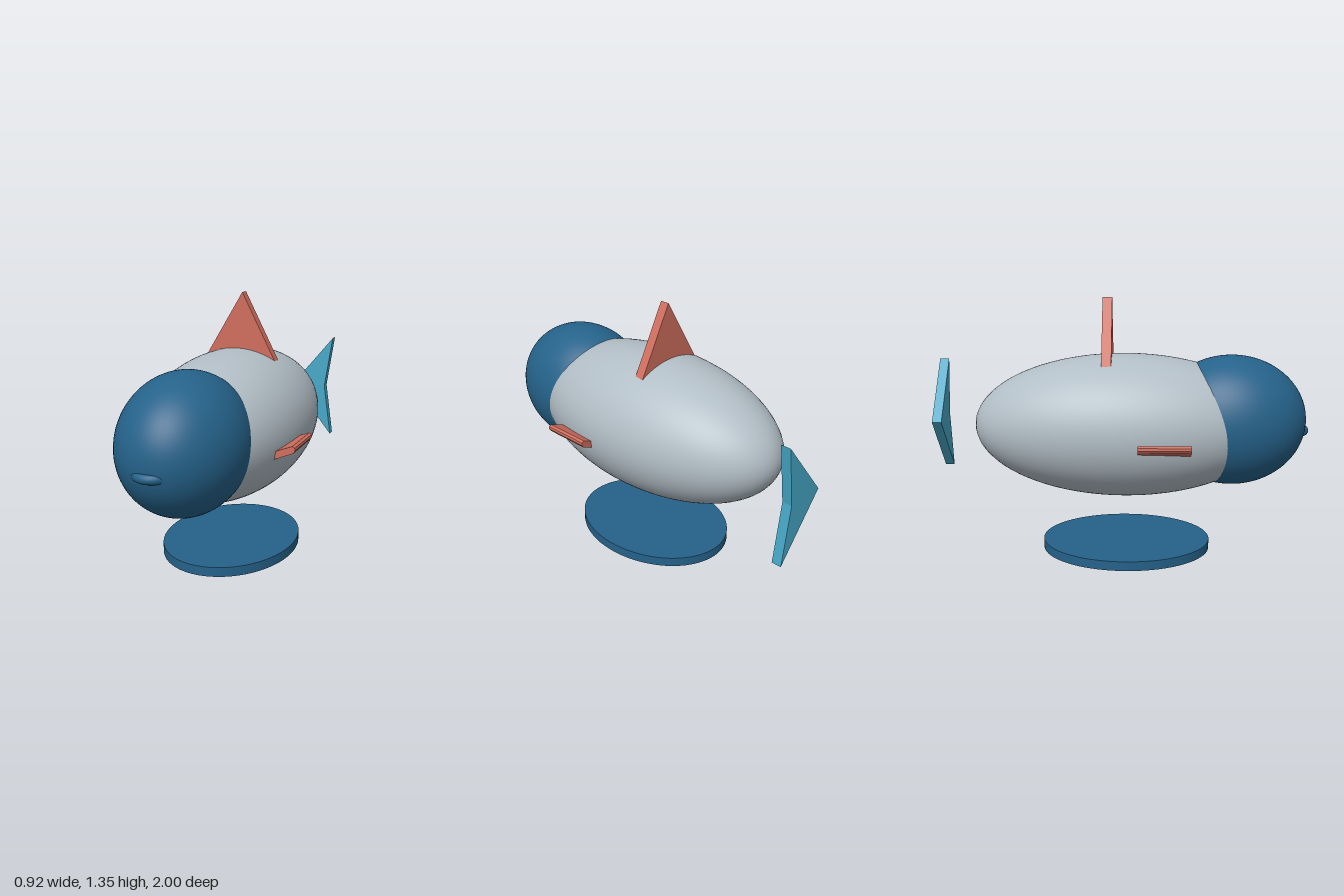
import * as THREE from 'three';

const paint = (name, color) => {
  const m = new THREE.MeshStandardMaterial({ color });
  m.name = name;
  return m;
};

export function createModel() {
  const fish = new THREE.Group();
  fish.name = 'fish';
  const grey = paint('body grey', 0xb2bec6);
  const blue = paint('deep blue', 0x25628a);
  const red = paint('fin red', 0xd06e5e);
  const teal = paint('tail teal', 0x46a8c8);

  const add = (name, geometry, material, x, y, z) => {
    const mesh = new THREE.Mesh(geometry, material);
    mesh.name = name;
    mesh.position.set(x, y, z);
    fish.add(mesh);
    return mesh;
  };
  const ellipsoid = (rx, ry, rz) => new THREE.SphereGeometry(1, 64, 48).scale(rx, ry, rz);
  // flat plate cut from an outline in x and y, growing towards +z
  const plate = (points, depth) => new THREE.ExtrudeGeometry(
    new THREE.Shape(points.map(([x, y]) => new THREE.Vector2(x, y))),
    { depth, bevelEnabled: false });

  // body and head
  add('body', ellipsoid(0.4, 0.375, 0.79), grey, 0, 0.685, 0.03);
  add('head', ellipsoid(0.308, 0.342, 0.39), blue, 0, 0.713, 0.59);

  // lips: a ring lying flat, only its front arc stands out of the head
  add('mouth', new THREE.TorusGeometry(0.075, 0.023, 16, 48).rotateX(Math.PI / 2), blue, 0, 0.66, 0.9);

  // triangular back fin
  add('dorsalFin', plate([[-0.215, 0.95], [0.234, 0.95], [0.025, 1.35]], 0.05), red, 0, 0, -0.085);

  // side fins, tilted upwards with a blunt tip
  const finOutline = [[0.27, 0.574], [0.449, 0.65], [0.458, 0.664],
    [0.456, 0.677], [0.444, 0.685], [0.433, 0.681], [0.27, 0.614]];
  add('leftFin', plate(finOutline, 0.26), red, 0, 0, 0.1);
  add('rightFin', plate(finOutline.map(([x, y]) => [-x, y]), 0.26), red, 0, 0, 0.1);

  // detached arrow-shaped tail
  add('tailFin', plate([[0, 0.685], [0.25, 0.38], [0.205, 0.685], [0.25, 0.99]], 0.05), teal, 0, 0, -1);

  // oval base
  add('base', new THREE.CylinderGeometry(1, 1, 0.05, 64).scale(0.35, 1, 0.45), blue, 0, 0.025, 0.04);

  return fish;
}
